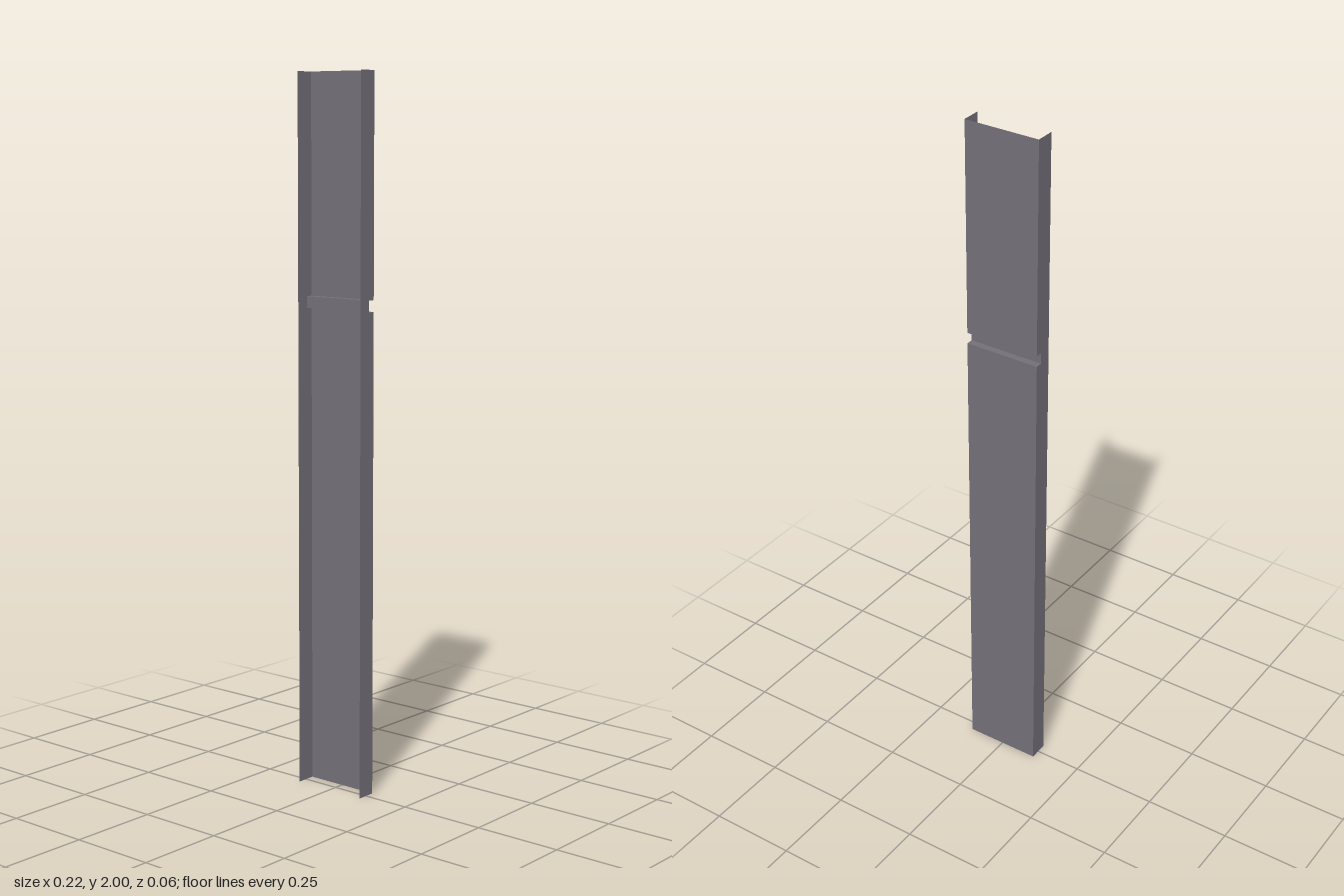
import * as THREE from 'three';

export function createModel() {
  const group = new THREE.Group();
  const metal = new THREE.MeshStandardMaterial({ color: 0x737078, side: THREE.DoubleSide });
  metal.name = 'grey sheet metal';

  const halfWidth = 0.111, front = 0.028, back = -0.028;
  const grooveZ = -0.008, grooveBottom = 1.357, grooveTop = 1.389, height = 2;

  // Back edge of the section as [z, y], stepping in at the groove
  const profile = [
    [back, 0], [back, grooveBottom], [grooveZ, grooveBottom],
    [grooveZ, grooveTop], [back, grooveTop], [back, height],
  ];
  const names = ['lowerWeb', 'grooveLowerLedge', 'grooveFloor', 'grooveUpperLedge', 'upperWeb'];

  // Web: one flat strip across the width for each profile segment
  names.forEach((name, i) => {
    const [z0, y0] = profile[i], [z1, y1] = profile[i + 1];
    const dz = z1 - z0, dy = y1 - y0;
    const strip = new THREE.PlaneGeometry(halfWidth * 2, Math.hypot(dz, dy));
    strip.rotateX(Math.atan2(dz, dy));
    strip.translate(0, (y0 + y1) / 2, (z0 + z1) / 2);
    const mesh = new THREE.Mesh(strip, metal);
    mesh.name = name;
    group.add(mesh);
  });

  // Side flanges: thin sheets notched where the groove passes through
  const outline = [...profile, [front, height], [front, 0]].map(([z, y]) => new THREE.Vector2(z, y));
  for (const [name, side] of [['leftFlange', 1], ['rightFlange', -1]]) {
    const sheet = new THREE.ShapeGeometry(new THREE.Shape(outline));
    sheet.rotateY(-Math.PI / 2);
    const mesh = new THREE.Mesh(sheet, metal);
    mesh.position.x = side * halfWidth;
    mesh.name = name;
    group.add(mesh);
  }

  return group;
}
